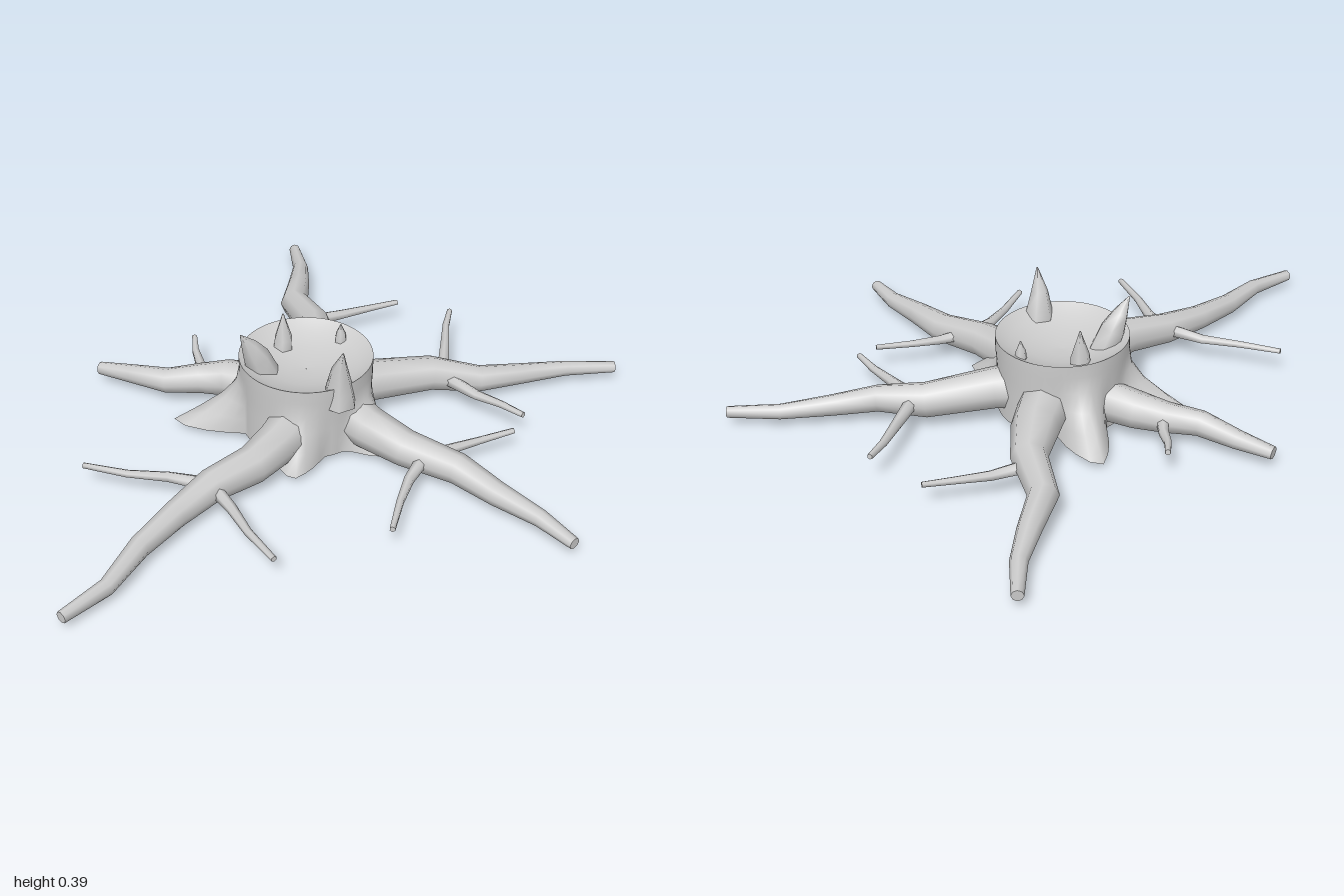
import * as THREE from 'three';

const V = (x, y, z) => new THREE.Vector3(x, y, z);
const material = new THREE.MeshStandardMaterial({ color: 0xcccccc, side: THREE.DoubleSide });

// Skin a list of closed rings (equal point counts) with smooth normals
function loft(name, rings) {
  const n = rings[0].length, index = [];
  for (let i = 0; i < rings.length - 1; i++) {
    for (let j = 0; j < n; j++) {
      const a = i * n + j, b = i * n + (j + 1) % n;
      index.push(a, b, b + n, a, b + n, a + n);
    }
  }
  const geometry = new THREE.BufferGeometry().setFromPoints(rings.flat());
  geometry.setIndex(index);
  geometry.computeVertexNormals();
  const mesh = new THREE.Mesh(geometry, material);
  mesh.name = name;
  return mesh;
}

// Tapered limb through points [x, y, z, radius], closed with a flat end
function limb(name, stations, sides = 8) {
  const pts = stations.map(([x, y, z]) => V(x, y, z));
  let normal = null;
  const rings = pts.map((p, i) => {
    const t = pts[Math.min(i + 1, pts.length - 1)].clone().sub(pts[Math.max(i - 1, 0)]).normalize();
    normal ??= Math.abs(t.y) > 0.7 ? V(1, 0, 0) : V(0, 1, 0);
    normal.addScaledVector(t, -normal.dot(t)).normalize();
    const side = t.clone().cross(normal), r = stations[i][3];
    return Array.from({ length: sides }, (_, j) => {
      const a = j / sides * Math.PI * 2;
      return p.clone().addScaledVector(normal, Math.cos(a) * r).addScaledVector(side, Math.sin(a) * r);
    });
  });
  const group = new THREE.Group();
  group.name = name;
  group.add(loft(name + 'Skin', rings));
  const end = rings.at(-1);
  group.add(loft(name + 'End', [end, end.map(() => pts.at(-1))]));
  return group;
}

// Flares of the trunk foot: [tip x, tip z, half angle]
const flares = [[0.01, -0.38, 0.38], [-0.375, -0.19, 0.35], [-0.18, 0.25, 0.4], [0.2, 0.32, 0.4]];

function footRadius(a) {
  let r = 0.2;
  for (const [x, z, w] of flares) {
    let d = Math.abs(a - Math.atan2(-z, x)) % (Math.PI * 2);
    d = Math.min(d, Math.PI * 2 - d);
    r = Math.max(r, 0.2 + (Math.hypot(x, z) - 0.2) * (1 - d / w));
  }
  return r;
}

// Horizontal ring; flare blends from round (0) to the pointed foot (1)
function ring(y, radius, flare = 0) {
  return Array.from({ length: 64 }, (_, j) => {
    const a = j / 64 * Math.PI * 2;
    const r = radius + (footRadius(a) - 0.2) * flare;
    return V(r * Math.cos(a), y, -r * Math.sin(a) - 0.005);
  });
}

// Main roots: [x, z, y, radius]
const roots = [
  [[0.1, -0.01, 0.11, 0.075], [0.22, 0.01, 0.105, 0.065], [0.42, 0.04, 0.085, 0.055], [0.55, 0.12, 0.07, 0.042],
    [0.69, 0.145, 0.058, 0.033], [0.84, 0.175, 0.048, 0.024], [0.99, 0.235, 0.042, 0.018]],
  [[0.1, -0.13, 0.1, 0.08], [0.16, -0.23, 0.095, 0.075], [0.225, -0.37, 0.09, 0.055], [0.24, -0.54, 0.075, 0.046],
    [0.32, -0.66, 0.06, 0.036], [0.385, -0.77, 0.048, 0.026], [0.43, -0.9, 0.042, 0.018]],
  [[-0.07, -0.13, 0.095, 0.065], [-0.16, -0.23, 0.09, 0.058], [-0.23, -0.28, 0.08, 0.048],
    [-0.32, -0.33, 0.07, 0.04], [-0.395, -0.43, 0.058, 0.03], [-0.47, -0.52, 0.05, 0.02]],
  [[-0.1, 0.1, 0.1, 0.075], [-0.19, 0.16, 0.098, 0.066], [-0.29, 0.205, 0.09, 0.058], [-0.43, 0.225, 0.08, 0.05],
    [-0.57, 0.28, 0.066, 0.04], [-0.71, 0.35, 0.056, 0.033], [-0.85, 0.45, 0.046, 0.025], [-1, 0.5, 0.042, 0.018]],
  [[0.07, 0.1, 0.1, 0.075], [0.1, 0.22, 0.095, 0.065], [0.15, 0.34, 0.085, 0.056], [0.245, 0.48, 0.07, 0.047],
    [0.29, 0.62, 0.058, 0.037], [0.345, 0.76, 0.048, 0.026], [0.37, 0.89, 0.042, 0.018]],
];

// Side twigs: [x, z, y] along the path
const twigs = [
  [[0.46, 0.05, 0.08], [0.54, -0.07, 0.085], [0.6, -0.16, 0.09], [0.655, -0.225, 0.095]],
  [[0.45, 0.08, 0.08], [0.49, 0.2, 0.075], [0.525, 0.28, 0.08], [0.55, 0.365, 0.085]],
  [[0.23, -0.4, 0.085], [0.35, -0.4, 0.075], [0.45, -0.39, 0.075], [0.545, -0.38, 0.075]],
  [[-0.22, -0.27, 0.08], [-0.195, -0.35, 0.075], [-0.18, -0.42, 0.085], [-0.155, -0.48, 0.095]],
  [[-0.43, 0.22, 0.08], [-0.52, 0.125, 0.075], [-0.62, 0.055, 0.075], [-0.72, -0.035, 0.08]],
  [[-0.43, 0.21, 0.08], [-0.42, 0.34, 0.072], [-0.425, 0.45, 0.072], [-0.415, 0.59, 0.075]],
  [[0.19, 0.39, 0.08], [0.09, 0.46, 0.072], [0.02, 0.53, 0.07], [-0.065, 0.63, 0.072]],
  [[0.18, 0.4, 0.08], [0.28, 0.395, 0.075], [0.37, 0.4, 0.075], [0.485, 0.41, 0.078]],
];

// Upright splinters: [x, y, z, radius]
const splinters = [
  [[0.015, 0.19, 0.175, 0.055], [0.015, 0.24, 0.175, 0.045], [0.01, 0.31, 0.185, 0.028], [0.01, 0.385, 0.205, 0.002]],
  [[-0.115, 0.2, -0.045, 0.045], [-0.145, 0.27, -0.047, 0.042], [-0.17, 0.32, -0.045, 0.026], [-0.2, 0.37, -0.04, 0.002]],
  [[-0.015, 0.19, -0.13, 0.034], [-0.012, 0.25, -0.13, 0.03], [-0.01, 0.335, -0.135, 0.002]],
  [[0.15, 0.22, -0.06, 0.02], [0.15, 0.255, -0.06, 0.017], [0.15, 0.29, -0.06, 0.002]],
];

export function createModel() {
  const stump = new THREE.Group();
  stump.name = 'treeStump';

  // Trunk wall, hollowed top and underside
  stump.add(loft('trunkWall', [ring(0.02, 0.2, 1), ring(0.07, 0.2, 0.62), ring(0.12, 0.2, 0.28),
    ring(0.17, 0.2, 0.06), ring(0.22, 0.203), ring(0.262, 0.203)]));
  stump.add(loft('hollowTop', [ring(0.262, 0.203), ring(0.235, 0.16), ring(0.218, 0.1),
    ring(0.21, 0.05), ring(0.208, 0.001)]));
  stump.add(loft('underside', [ring(0.04, 0.001), ring(0.035, 0.1), ring(0.02, 0.2, 1)]));

  // Short octagonal stub below the trunk
  const stub = new THREE.Mesh(new THREE.CylinderGeometry(0.09, 0.075, 0.05, 8), material);
  stub.name = 'taprootStub';
  stub.position.y = 0.025;
  stump.add(stub);

  for (const path of roots) {
    stump.add(limb('root', path.map(([x, z, y, r]) => [x, y, z, r])));
  }
  for (const path of twigs) {
    stump.add(limb('rootTwig', path.map(([x, z, y], i) => [x, y, z, [0.022, 0.016, 0.012, 0.009][i]]), 6));
  }
  for (const path of splinters) stump.add(limb('splinter', path, 6));
  return stump;
}
